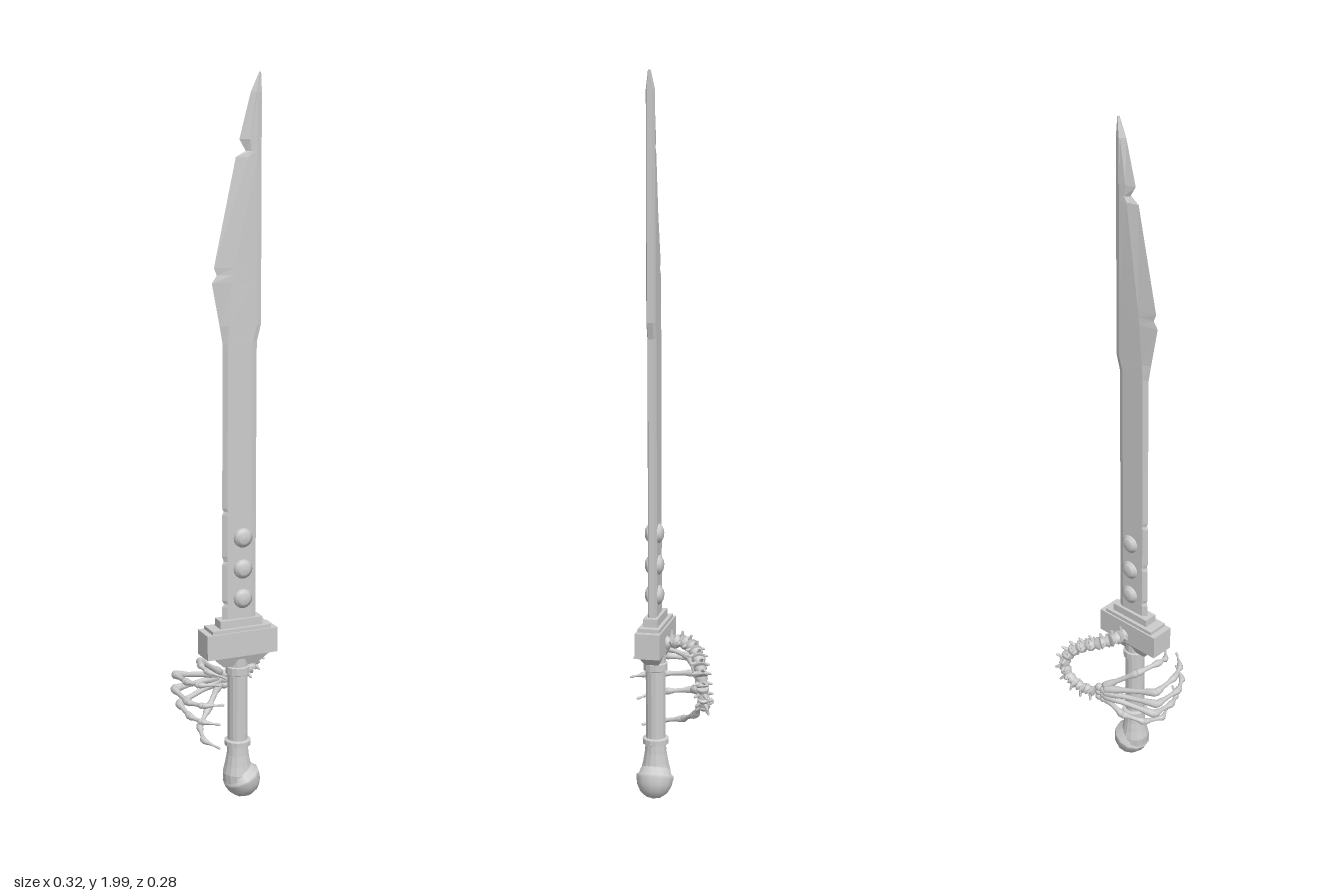
import * as THREE from 'three';

const V = (x, y, z) => new THREE.Vector3(x, y, z);
const UP = V(0, 1, 0);
const CZ = 0.044; // depth of the sword's centre plane
const smooth = new THREE.MeshStandardMaterial({ color: 0xcccccc });
const flat = new THREE.MeshStandardMaterial({ color: 0xcccccc, flatShading: true });

function add(parent, name, geometry, material, x = 0, y = 0, z = 0) {
  const mesh = new THREE.Mesh(geometry, material);
  mesh.name = name;
  mesh.position.set(x, y, z);
  parent.add(mesh);
  return mesh;
}

function lathe(points, sides) {
  return new THREE.LatheGeometry(points.map(([r, y]) => new THREE.Vector2(r, y)), sides);
}

// Blade: hexagonal cross-sections lofted upward, [y, cutting edge x, bevel x, spine x]
function bladeGeometry() {
  const rows = [
    [0.5, -0.042, -0.03, 0.055], [0.57, -0.042, -0.03, 0.055], [0.58, -0.036, -0.028, 0.055],
    [0.59, -0.042, -0.03, 0.055], [0.69, -0.042, -0.03, 0.055], [0.7, -0.037, -0.028, 0.055],
    [0.715, -0.042, -0.03, 0.055], [0.83, -0.042, -0.03, 0.055], [0.84, -0.037, -0.028, 0.055],
    [0.85, -0.041, -0.03, 0.055], [1.3, -0.04, -0.028, 0.056], [1.345, -0.048, -0.024, 0.068],
    [1.46, -0.07, -0.015, 0.068], [1.48, -0.056, -0.012, 0.068], [1.5, -0.064, -0.01, 0.068],
    [1.785, -0.002, 0.03, 0.068], [1.8, 0.026, 0.038, 0.068], [1.83, 0.008, 0.034, 0.068],
    [1.95, 0.04, 0.052, 0.068], [2, 0.064, 0.066, 0.068],
  ];
  const t = 0.0125, pos = [], idx = [];
  rows.forEach(([y, edge, bevel, spine], i) => {
    const k = i === rows.length - 1 ? 0.3 : 1;
    const shoulder = Math.max(bevel, spine - 0.014);
    const ring = [[edge, 0], [bevel, t * 0.8 * k], [shoulder, t * k], [spine, t * 0.6 * k],
      [spine, -t * 0.6 * k], [shoulder, -t * k], [bevel, -t * 0.8 * k]];
    ring.forEach(([x, z]) => pos.push(x, y, CZ + z));
    if (i) for (let j = 0; j < 7; j++) {
      const a = (i - 1) * 7 + j, b = (i - 1) * 7 + (j + 1) % 7;
      idx.push(a, b, b + 7, a, b + 7, a + 7);
    }
  });
  const top = (rows.length - 1) * 7;
  for (let j = 1; j < 6; j++) idx.push(top, top + j, top + j + 1, 0, j + 1, j);
  const g = new THREE.BufferGeometry();
  g.setAttribute('position', new THREE.Float32BufferAttribute(pos, 3));
  g.setIndex(idx);
  g.computeVertexNormals();
  return g;
}

// Bone: slim shaft with swollen ends between two points
function bone(parent, name, a, b, r, endScale) {
  const len = a.distanceTo(b), e = endScale;
  const profile = [[0, -0.5 * r], [r * 0.8, -0.3 * r], [r, r * 0.4], [r * 0.9, len * 0.2],
    [r * 0.62, len * 0.35], [r * 0.6 * e, len * 0.7], [r * 0.85 * e, len * 0.85],
    [r * e, len - r * 0.3], [r * 0.7 * e, len + r * 0.3], [0, len + r * 0.45]];
  const mesh = add(parent, name, lathe(profile, 10), smooth, a.x, a.y, a.z);
  mesh.quaternion.setFromUnitVectors(UP, b.clone().sub(a).normalize());
}

// Spine guard: vertebrae threaded on a curve, each with three thorns
function spineGuard() {
  const group = new THREE.Group();
  group.name = 'spineGuard';
  const curve = new THREE.CatmullRomCurve3([
    V(0.02, 0.46, 0.012), V(0.02, 0.465, -0.03), V(0.04, 0.46, -0.065), V(0.08, 0.443, -0.09),
    V(0.118, 0.41, -0.107), V(0.134, 0.37, -0.115), V(0.12, 0.33, -0.115),
    V(0.08, 0.308, -0.108), V(0.035, 0.305, -0.096)]);
  const count = 13, step = curve.getLength() / count;
  const body = lathe([[0, -0.5], [0.85, -0.5], [1, -0.38], [0.72, -0.1], [0.72, 0.1], [1, 0.38], [0.85, 0.5], [0, 0.5]], 10);
  const middle = V(0.02, 0.38, -0.05);
  for (let i = 0; i < count; i++) {
    const u = (i + 0.5) / count;
    const p = curve.getPointAt(u), tangent = curve.getTangentAt(u);
    const r = 0.021 - 0.005 * u;
    const out = p.clone().sub(middle);
    out.addScaledVector(tangent, -out.dot(tangent)).normalize();
    const vertebra = new THREE.Group();
    vertebra.name = 'vertebra' + (i + 1);
    vertebra.position.copy(p);
    const side = V(0, 0, 0).crossVectors(out, tangent);
    vertebra.quaternion.setFromRotationMatrix(new THREE.Matrix4().makeBasis(out, tangent, side));
    add(vertebra, 'vertebraBody', body, smooth).scale.set(r, step * 0.95, r);
    for (const angle of [-1.45, 0, 1.45]) {
      const dir = V(Math.cos(angle), 0.25, Math.sin(angle)).normalize();
      const length = angle ? 0.016 : 0.019;
      const thorn = add(vertebra, 'thorn', new THREE.CylinderGeometry(0.0025, 0.006, length, 7), smooth);
      thorn.position.copy(dir).multiplyScalar(r * 0.7 + length / 2);
      thorn.quaternion.setFromUnitVectors(UP, dir);
    }
    group.add(vertebra);
  }
  return group;
}

// Skeletal hand: wrist bones, then one chain of bones for each digit
function skeletonHand() {
  const group = new THREE.Group();
  group.name = 'skeletonHand';
  for (let i = 0; i < 6; i++) {
    add(group, 'wristBone', new THREE.SphereGeometry(0.012, 10, 7), smooth,
      0.022 - 0.018 * (i % 2), 0.325 - 0.016 * Math.floor(i / 2), -0.09);
  }
  const digits = [
    [V(0.005, 0.335, -0.085), V(-0.075, 0.395, -0.035), V(-0.1, 0.408, 0.03), V(-0.095, 0.4, 0.065), V(-0.058, 0.39, 0.105)],
    [V(0, 0.328, -0.088), V(-0.15, 0.366, -0.037), V(-0.148, 0.372, 0.045), V(-0.13, 0.375, 0.09), V(-0.085, 0.38, 0.125)],
    [V(0, 0.318, -0.09), V(-0.153, 0.325, -0.036), V(-0.15, 0.318, 0.06), V(-0.125, 0.32, 0.105), V(-0.077, 0.325, 0.133)],
    [V(0, 0.306, -0.09), V(-0.14, 0.28, -0.033), V(-0.138, 0.27, 0.045), V(-0.12, 0.266, 0.085), V(-0.08, 0.262, 0.115)],
    [V(0.005, 0.297, -0.088), V(-0.04, 0.24, -0.06), V(-0.085, 0.21, -0.015), V(-0.1, 0.195, 0.05), V(-0.075, 0.188, 0.1)],
  ];
  digits.forEach((points, d) => {
    for (let i = 0; i < 4; i++) {
      bone(group, `digit${d + 1}Bone${i + 1}`, points[i], points[i + 1], 0.0125 - 0.0014 * i, i === 3 ? 0.5 : 0.95);
    }
  });
  return group;
}

export function createModel() {
  const model = new THREE.Group();
  model.name = 'sword';
  add(model, 'blade', bladeGeometry(), flat);

  // Rivets through the blade
  const rivet = lathe([[0, -0.025], [0.014, -0.024], [0.021, -0.02], [0.021, -0.016], [0.027, -0.015], [0.027, 0.015],
    [0.021, 0.016], [0.021, 0.02], [0.014, 0.024], [0, 0.025]], 16);
  rivet.rotateX(Math.PI / 2);
  for (const y of [0.593, 0.677, 0.765]) add(model, 'rivet', rivet, smooth, 0.015, y, CZ);

  // Stepped crossguard: [bottom, top, width, depth, centre x]
  const steps = [[0.515, 0.537, 0.125, 0.04, 0.008], [0.492, 0.515, 0.174, 0.06, 0.005], [0.435, 0.505, 0.208, 0.07, 0.005]];
  steps.forEach(([y0, y1, w, d, x], i) =>
    add(model, 'guardStep' + (i + 1), new THREE.BoxGeometry(w, y1 - y0, d), flat, x, (y0 + y1) / 2, CZ));

  // Tapered block under the guard
  const taper = new THREE.CylinderGeometry(Math.SQRT1_2, Math.SQRT1_2 * 0.6, 1, 4, 1);
  taper.rotateY(Math.PI / 4);
  add(model, 'guardTaper', taper, flat, 0.005, 0.42, CZ).scale.set(0.165, 0.032, 0.064);

  // Grip with collars, flaring toward the pommel
  const grip = lathe([[0.04, 0.06], [0.042, 0.085], [0.036, 0.11], [0.031, 0.14], [0.029, 0.164], [0.037, 0.167],
    [0.037, 0.181], [0.028, 0.184], [0.028, 0.375], [0.034, 0.378], [0.034, 0.398], [0.029, 0.4], [0.029, 0.425]], 14);
  add(model, 'grip', grip, flat, 0.005, 0, CZ);

  // Pommel: tilted bulb with a raised rim
  const pommel = add(model, 'pommel', lathe([[0, -0.053], [0.02, -0.049], [0.038, -0.036], [0.049, -0.016],
    [0.053, 0.004], [0.053, 0.012], [0.046, 0.016], [0.042, 0.03], [0.03, 0.042], [0, 0.046]], 12), smooth, 0.018, 0.063, CZ);
  pommel.rotation.z = 0.4;

  model.add(spineGuard(), skeletonHand());
  return model;
}
